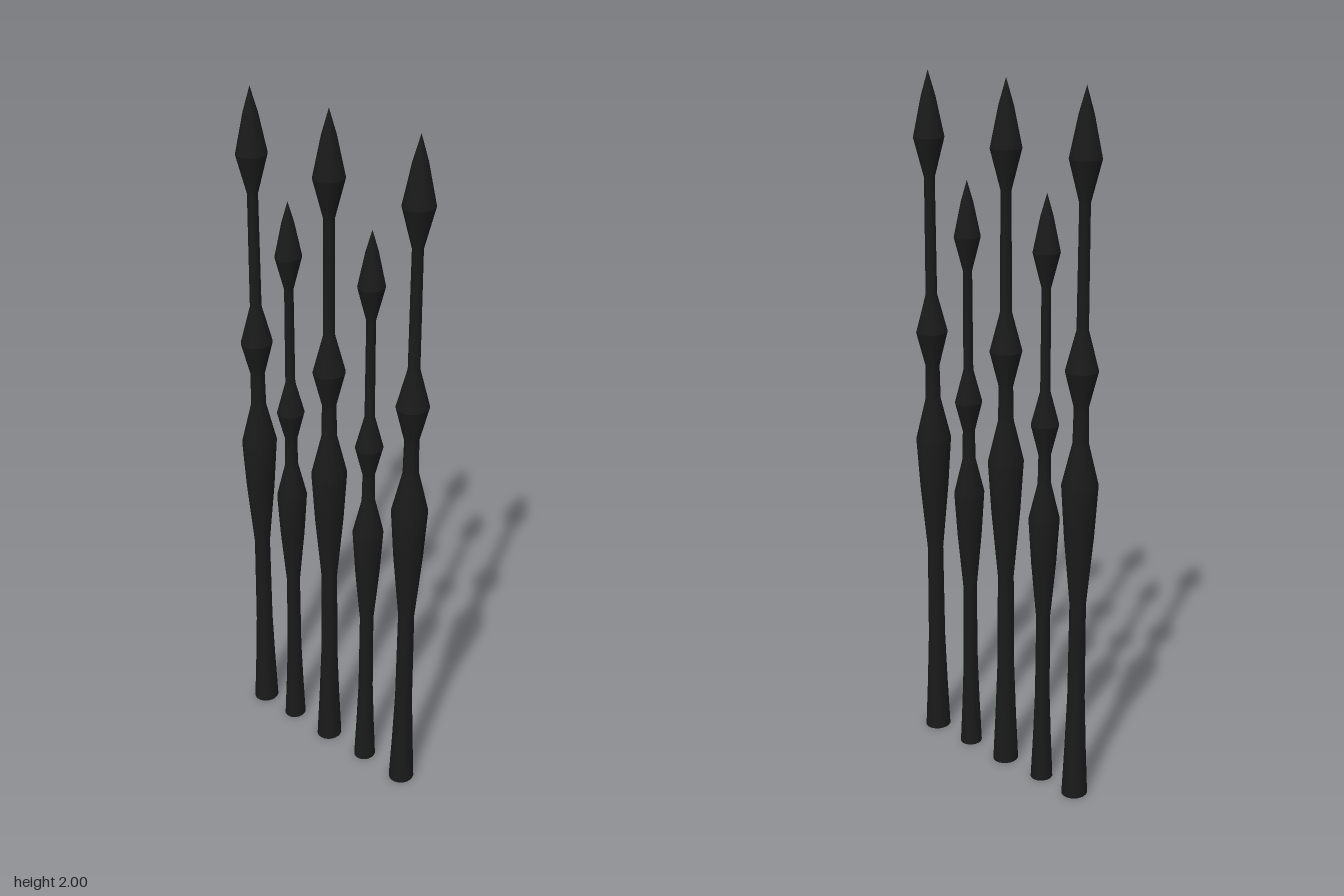
import * as THREE from 'three';
import { toCreasedNormals } from 'three/addons/utils/BufferGeometryUtils.js';

// Turned profile of a full-height spear: radius, height
const PROFILE = [
  [0, 0], [0.039, 0], [0.032, 0.15], [0.026, 0.31], [0.024, 0.6],
  [0.043, 0.8], [0.053, 0.95],                // long lower bulge
  [0.023, 1.07], [0.021, 1.17],
  [0.047, 1.27], [0.017, 1.38],               // middle bead
  [0.0155, 1.71], [0.045, 1.82], [0.021, 1.93], [0, 2] // pointed head
];

export function createModel() {
  const group = new THREE.Group();
  group.name = 'spearRow';
  const material = new THREE.MeshStandardMaterial({ color: 0x1a1a1a });

  // Slightly oval spear, with hard edges where the profile turns
  const points = PROFILE.map(([r, y]) => new THREE.Vector2(r, y));
  const lathe = new THREE.LatheGeometry(points, 20);
  lathe.scale(1, 1, 0.925);
  const geometry = toCreasedNormals(lathe, 0.33);

  const addSpear = (name, z, scale) => {
    const spear = new THREE.Mesh(geometry, material);
    spear.name = name;
    spear.position.z = z;
    spear.scale.setScalar(scale);
    group.add(spear);
  };

  // Three tall spears alternating with two short ones
  [0.282, -0.01, -0.284].forEach((z, i) => addSpear(`tallSpear${i + 1}`, z, 1));
  [0.136, -0.156].forEach((z, i) => addSpear(`shortSpear${i + 1}`, z, 0.86));

  return group;
}
